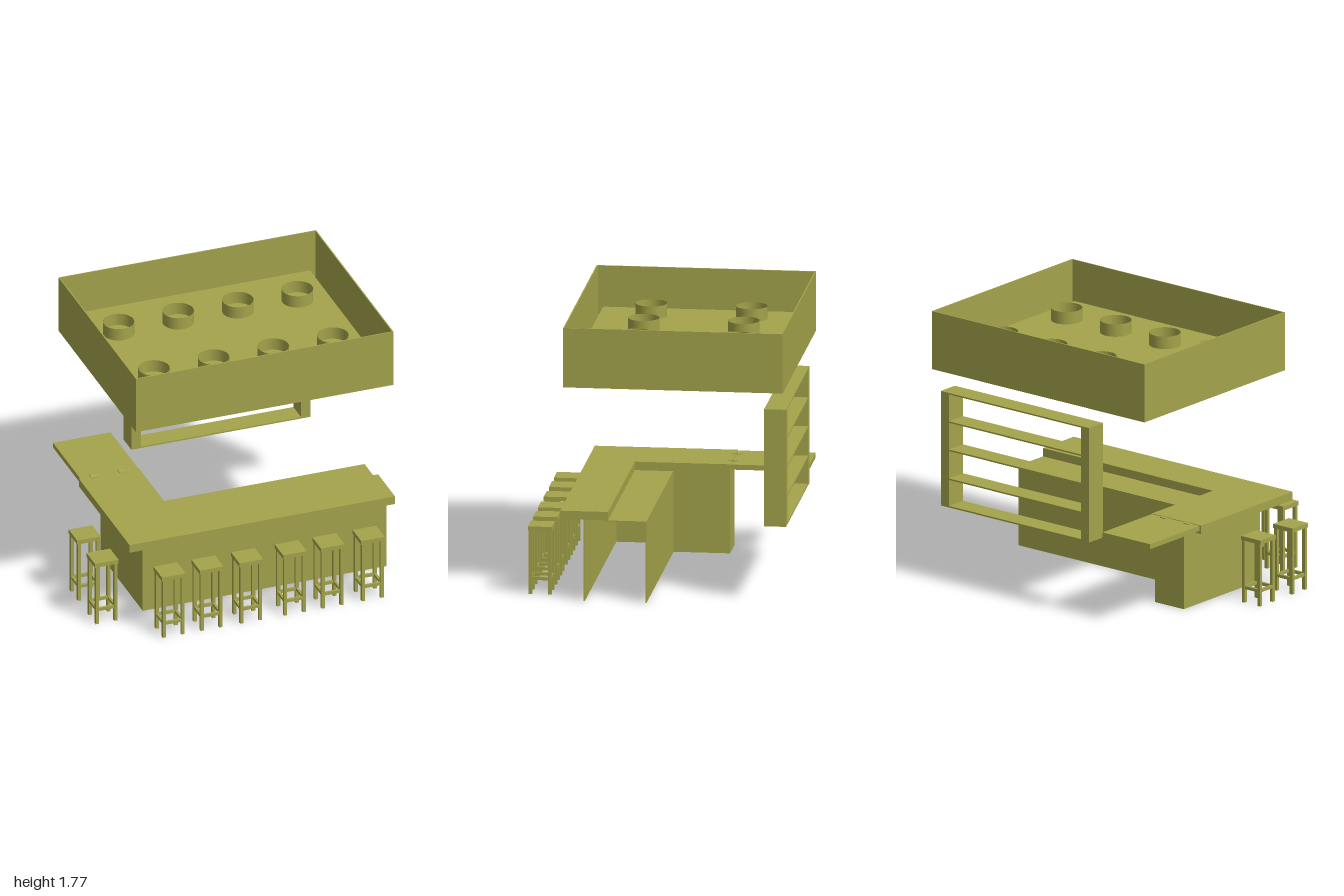
import * as THREE from 'three';

const material = new THREE.MeshStandardMaterial({ color: 0xa3a34b });
const openMaterial = new THREE.MeshStandardMaterial({ color: 0xa3a34b, side: THREE.DoubleSide });

// Box given by its limits on each axis
function block(parent, name, [x0, x1], [y0, y1], [z0, z1]) {
  const mesh = new THREE.Mesh(new THREE.BoxGeometry(x1 - x0, y1 - y0, z1 - z0), material);
  mesh.position.set((x0 + x1) / 2, (y0 + y1) / 2, (z0 + z1) / 2);
  mesh.name = name;
  parent.add(mesh);
  return mesh;
}

function group(parent, name) {
  const g = new THREE.Group();
  g.name = name;
  parent.add(g);
  return g;
}

// Four thin walls around a rectangle
function walls(parent, name, [x0, x1], y, [z0, z1], t) {
  block(parent, name, [x0, x0 + t], y, [z0, z1]);
  block(parent, name, [x1 - t, x1], y, [z0, z1]);
  block(parent, name, [x0 + t, x1 - t], y, [z0, z0 + t]);
  block(parent, name, [x0 + t, x1 - t], y, [z1 - t, z1]);
}

// Flat slab from an outline in x and z, with optional rectangular hole
function slab(parent, name, outline, y0, y1, hole) {
  const toPoints = (list) => list.map(([x, z]) => new THREE.Vector2(x, -z));
  const shape = new THREE.Shape(toPoints(outline));
  if (hole) shape.holes.push(new THREE.Path(toPoints(hole)));
  const geometry = new THREE.ExtrudeGeometry(shape, { depth: y1 - y0, bevelEnabled: false });
  geometry.rotateX(-Math.PI / 2);
  const mesh = new THREE.Mesh(geometry, material);
  mesh.position.y = y0;
  mesh.name = name;
  parent.add(mesh);
}

const rect = (x0, x1, z0, z1) => [[x0, z0], [x1, z0], [x1, z1], [x0, z1]];

function addStool(parent, x, z) {
  const stool = group(parent, 'stool');
  stool.position.set(x, 0, z);
  block(stool, 'seat', [-0.08, 0.08], [0.412, 0.44], [-0.077, 0.077]);
  const o = 0.074, i = 0.052;
  for (const s of [-1, 1]) {
    const span = s < 0 ? [-o, -i] : [i, o];
    for (const zs of [[-o, -i], [i, o]]) block(stool, 'leg', span, [0, 0.412], zs);
    const bar = s < 0 ? [-0.071, -0.055] : [0.055, 0.071];
    block(stool, 'stretcher', [-i, i], [0.09, 0.11], bar);
    block(stool, 'stretcher', bar, [0.09, 0.11], [-i, i]);
  }
}

export function createModel() {
  const model = new THREE.Group();
  model.name = 'bar';

  // Counter base: thin panels, open below and at the far end
  const base = group(model, 'counterBase');
  const h = [0, 0.53], t = 0.006;
  block(base, 'frontPanel', [-0.655, 0.995], h, [0.45 - t, 0.45]);
  block(base, 'sidePanel', [-0.655, -0.655 + t], h, [-0.31, 0.45 - t]);
  block(base, 'endPanel', [-0.655 + t, -0.42], h, [-0.31, -0.31 + t]);
  block(base, 'innerSidePanel', [-0.42 - t, -0.42], h, [-0.31 + t, 0.05]);
  block(base, 'backPanel', [-0.42, 0.995], [0, 0.524], [0.05, 0.05 + t]);
  block(base, 'worktop', [-0.42, 0.995], [0.524, 0.53], [0.05, 0.32]);

  // L-shaped bar top with a hinged flap
  slab(model, 'barTop',
    [[-0.8, -0.315], [-0.396, -0.315], [-0.396, 0.295], [0.995, 0.295], [0.995, 0.6], [-0.8, 0.6]],
    0.53, 0.585);
  block(model, 'flap', [-0.79, -0.4], [0.55, 0.583], [-0.81, -0.318]);
  for (const x of [-0.7, -0.51]) {
    const hinge = group(model, 'hinge');
    block(hinge, 'hingePlate', [x - 0.022, x + 0.022], [0.583, 0.588], [-0.345, -0.285]);
    const pin = new THREE.Mesh(new THREE.CylinderGeometry(0.005, 0.005, 0.044, 8), material);
    pin.name = 'hingePin';
    pin.rotation.z = Math.PI / 2;
    pin.position.set(x, 0.587, -0.317);
    hinge.add(pin);
  }

  // Back shelving
  const shelving = group(model, 'shelving');
  const depth = [-0.83, -0.69];
  block(shelving, 'post', [-0.305, -0.24], [0.5, 1.262], depth);
  block(shelving, 'post', [0.843, 0.908], [0.5, 1.262], depth);
  for (const y of [0.5, 0.683, 0.875, 1.063, 1.252]) {
    block(shelving, 'shelf', [-0.24, 0.843], [y, y + 0.01], depth);
  }

  // Overhead canopy: thin walls, bottom ledge and a raised ceiling panel
  const canopy = group(model, 'canopy');
  walls(canopy, 'canopyWall', [-0.75, 0.992], [1.387, 1.773], [-0.818, 0.582], 0.008);
  slab(canopy, 'canopyLedge', rect(-0.742, 0.984, -0.81, 0.574), 1.387, 1.395,
    rect(-0.69, 0.93, -0.77, 0.53));
  walls(canopy, 'canopyUpstand', [-0.698, 0.938], [1.387, 1.51], [-0.778, 0.538], 0.008);
  block(canopy, 'ceilingPanel', [-0.69, 0.93], [1.51, 1.518], [-0.77, 0.53]);

  // Open drum lamps through the ceiling panel
  const drum = new THREE.CylinderGeometry(0.1, 0.1, 0.16, 32, 1, true);
  for (let i = 0; i < 4; i++) {
    for (const z of [-0.44, 0.2]) {
      const lamp = new THREE.Mesh(drum, openMaterial);
      lamp.name = 'lamp';
      lamp.position.set(-0.485 + i * 0.403, 1.52, z);
      canopy.add(lamp);
    }
  }

  // Stools along the front and the side
  for (const x of [-0.584, -0.328, -0.06, 0.235, 0.49, 0.762]) addStool(model, x, 0.748);
  for (const z of [0.112, 0.434]) addStool(model, -0.92, z);

  return model;
}
